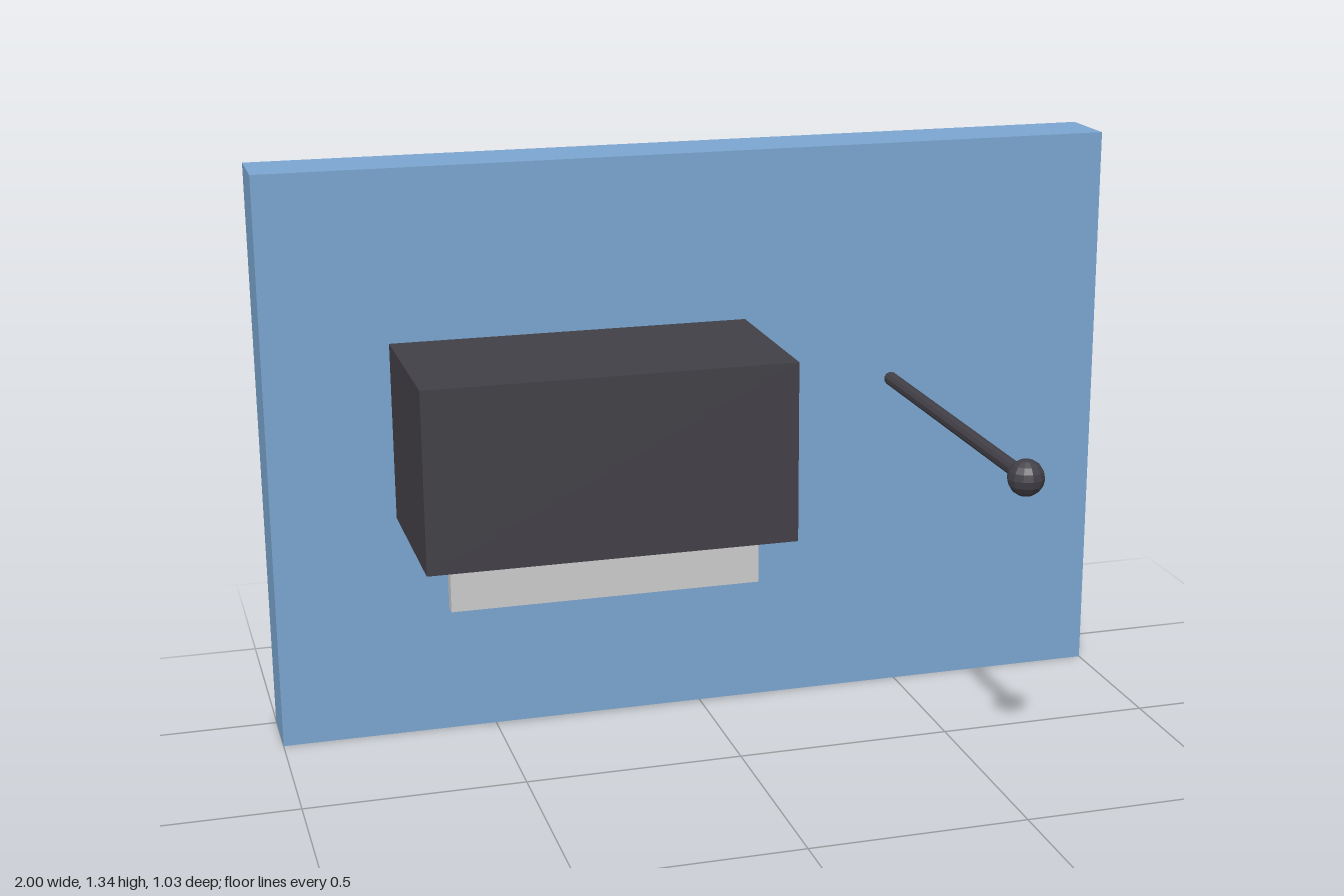
import * as THREE from 'three';

const blue = new THREE.MeshStandardMaterial({ color: 0x7aa5cf, flatShading: true });
const dark = new THREE.MeshStandardMaterial({ color: 0x424047, flatShading: true });
const grey = new THREE.MeshStandardMaterial({ color: 0xcccccc, flatShading: true });

// Box given by its lower and upper corners
function box(name, material, min, max) {
  const size = max.map((v, i) => v - min[i]);
  const mesh = new THREE.Mesh(new THREE.BoxGeometry(...size), material);
  mesh.position.set(...max.map((v, i) => (v + min[i]) / 2));
  mesh.name = name;
  return mesh;
}

export function createModel() {
  const group = new THREE.Group();
  group.name = 'wallPanelWithLever';

  // Upright backing panel, housing on its front, and the plate hanging below
  group.add(
    box('backPanel', blue, [-1, 0, -0.515], [1, 1.335, -0.355]),
    box('housing', dark, [-0.715, 0.53, -0.355], [0.115, 0.94, 0.06]),
    box('hangingPlate', grey, [-0.65, 0.41, -0.06], [0.05, 0.53, -0.03]),
  );

  // Lever: thin rod sticking out of the panel with a ball at its end
  const lever = new THREE.Group();
  lever.name = 'lever';
  lever.position.set(0.477, 0.77, 0);

  const rodStart = -0.355, rodEnd = 0.475;
  const rod = new THREE.Mesh(new THREE.CylinderGeometry(0.016, 0.016, rodEnd - rodStart, 10), dark);
  rod.name = 'leverRod';
  rod.rotation.x = Math.PI / 2;
  rod.position.z = (rodStart + rodEnd) / 2;

  const knob = new THREE.Mesh(new THREE.SphereGeometry(0.04, 12, 8), dark);
  knob.name = 'leverKnob';
  knob.position.z = rodEnd;

  lever.add(rod, knob);
  group.add(lever);
  return group;
}
